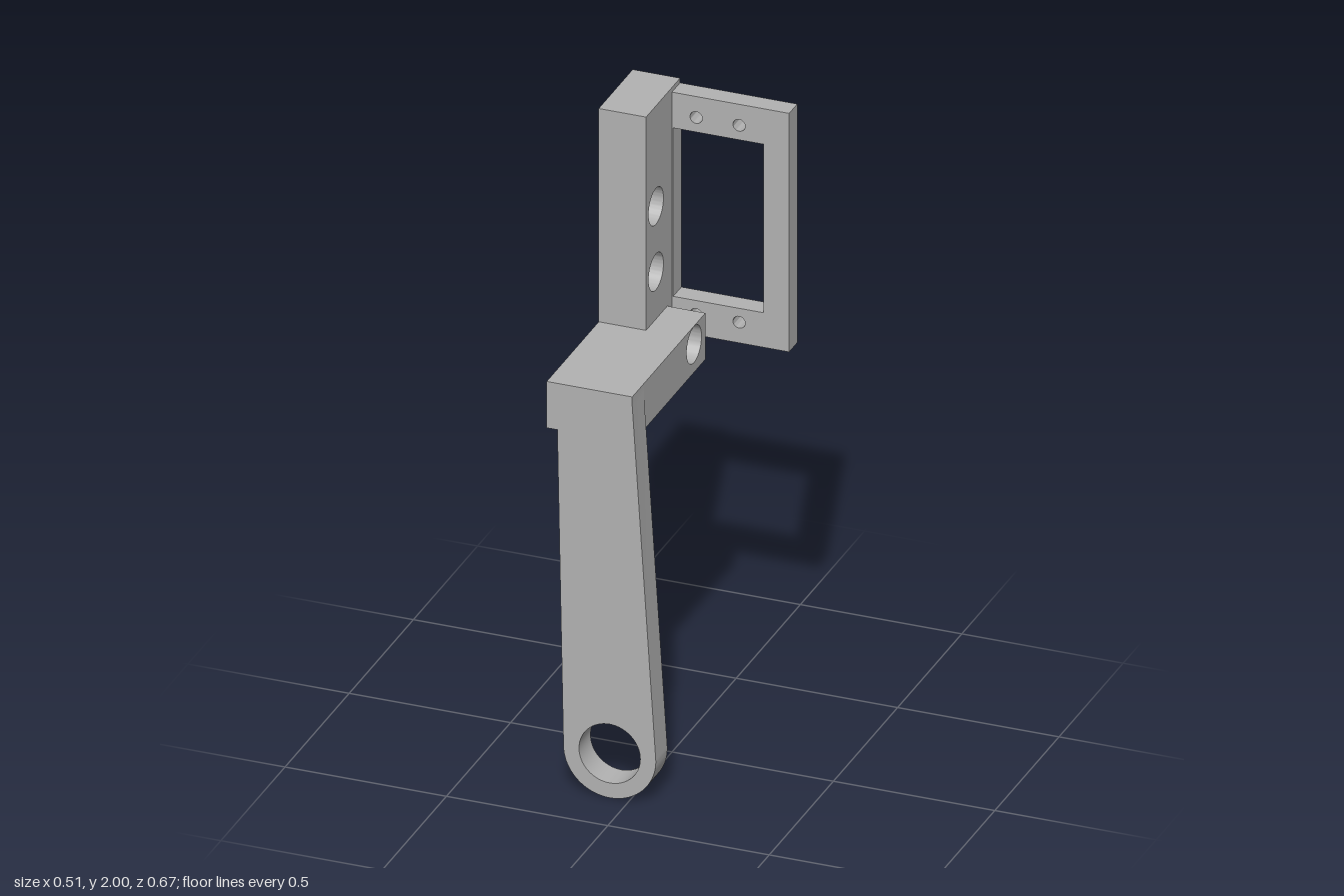
import * as THREE from 'three';
import { toCreasedNormals } from 'three/addons/utils/BufferGeometryUtils.js';

const grey = new THREE.MeshStandardMaterial({ color: 0xb2b2b2 });
grey.name = 'grey';

// Closed polygon with optional round holes [x, y, radius]
function outline(points, holes = []) {
  const shape = new THREE.Shape(points.map(([x, y]) => new THREE.Vector2(x, y)));
  for (const [x, y, r] of holes) {
    shape.holes.push(new THREE.Path().absarc(x, y, r, 0, Math.PI * 2, true));
  }
  return shape;
}

function extrude(shape, depth) {
  return new THREE.ExtrudeGeometry(shape, { depth, bevelEnabled: false, curveSegments: 32 });
}

function part(name, geometry) {
  const mesh = new THREE.Mesh(toCreasedNormals(geometry, 0.5), grey);
  mesh.name = name;
  return mesh;
}

// Slab drawn in the xy plane, from z0 to z1
function frontSlab(name, shape, z0, z1) {
  return part(name, extrude(shape, z1 - z0).translate(0, 0, z0));
}

// Slab drawn as a side profile (-z, y), from x0 to x1
function sideSlab(name, shape, x0, x1) {
  return part(name, extrude(shape, x1 - x0).rotateY(Math.PI / 2).translate(x0, 0, 0));
}

export function createModel() {
  const model = new THREE.Group();
  model.name = 'bracketWithLever';

  const armBottom = 1.16, armTop = 1.31, leverBack = 0.245, front = 0.335;
  const left = -0.255, postRight = -0.108, armRight = 0.01, boreEnd = -0.2;
  const boltHoles = (r, heights) => heights.map((y) => [0.147, y, r]);
  const heights = [1.25, 1.463, 1.675];

  // Upright post and arm in one L profile: narrow holes outside, wide counterbores inside
  const ell = [[-leverBack, armBottom], [0.335, armBottom], [0.335, 2],
    [0.07, 2], [0.07, armTop], [-leverBack, armTop]];
  model.add(sideSlab('postOuter', outline(ell, boltHoles(0.035, heights)), left, boreEnd));
  model.add(sideSlab('postInner', outline(ell, boltHoles(0.058, heights)), boreEnd, postRight));

  // Wider part of the horizontal arm
  const armProfile = [[-leverBack, armBottom], [0.235, armBottom], [0.235, armTop], [-leverBack, armTop]];
  model.add(sideSlab('arm', outline(armProfile, boltHoles(0.058, [heights[0]])), postRight, armRight));

  // Tapered lever with a rounded eye, shoulder flush with the arm
  const cx = -0.06, cy = 0.143, r = 0.143;
  const lever = new THREE.Shape();
  lever.moveTo(armRight, armTop);
  lever.lineTo(left, armTop);
  lever.lineTo(left, armBottom);
  lever.lineTo(-0.222, armBottom);
  lever.absarc(cx, cy, r, Math.PI + 0.02, Math.PI * 2 + 0.06, false);
  lever.lineTo(armRight, 1.28);
  lever.closePath();
  lever.holes.push(new THREE.Path().absarc(cx, cy, 0.095, 0, Math.PI * 2, true));
  model.add(frontSlab('lever', lever, leverBack, front));

  // Rectangular mounting frame with four screw holes
  const screws = [];
  for (const x of [-0.033, 0.1]) for (const y of [1.28, 1.917]) screws.push([x, y, 0.019]);
  const frame = outline([[postRight, 1.213], [0.255, 1.213], [0.255, 1.985], [postRight, 1.985]], screws);
  frame.holes.push(new THREE.Path([[-0.104, 1.325], [-0.104, 1.87], [0.175, 1.87], [0.175, 1.325]]
    .map(([x, y]) => new THREE.Vector2(x, y))));
  model.add(frontSlab('mountingFrame', frame, -0.335, -0.271));

  return model;
}
